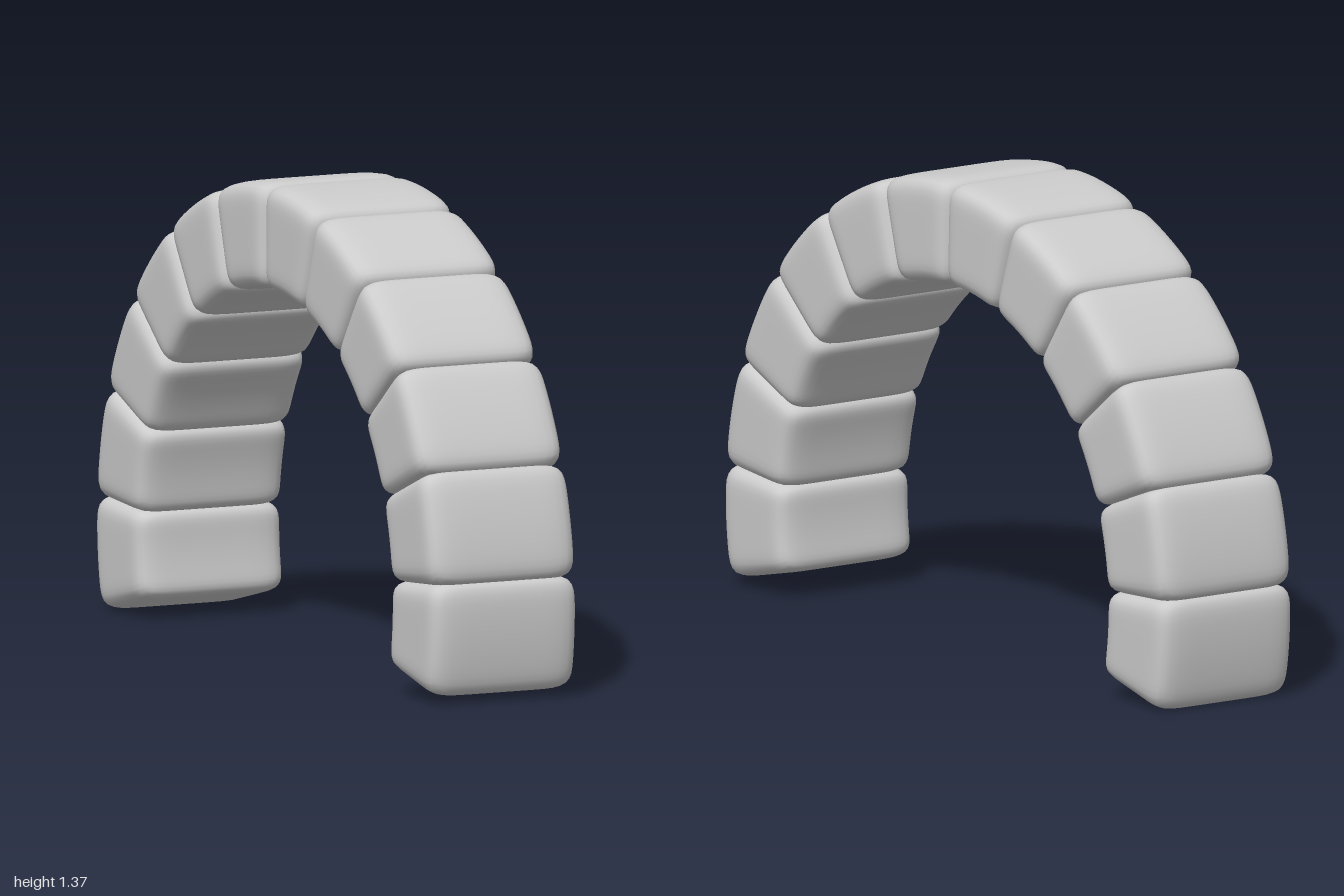
import * as THREE from 'three';
import { mergeVertices } from 'three/addons/utils/BufferGeometryUtils.js';

const BLOCKS = 12;
const R_IN = 0.8, R_OUT = 1.11;      // inner and outer radius of the arch
const HALF_DEPTH = 0.235;
const CENTRE_Y = 0.257;              // height of the arch's centre
const PITCH = THREE.MathUtils.degToRad(17.2);
const TILT = THREE.MathUtils.degToRad(0.6);
const OVERLAP = 0.96;                // neighbouring blocks press slightly together
const ROUNDNESS = 8;                 // superellipsoid exponent

// Pillow-shaped wedge stone: a rounded cube bent around the arch centre
function blockGeometry(midAngle) {
  let geo = new THREE.BoxGeometry(2, 2, 2, 16, 16, 16);
  geo.deleteAttribute('uv');
  geo.deleteAttribute('normal');
  geo = mergeVertices(geo);
  const pos = geo.attributes.position;
  const v = new THREE.Vector3();
  const midRadius = (R_IN + R_OUT) / 2, halfThick = (R_OUT - R_IN) / 2;
  const halfAngle = PITCH / 2 / OVERLAP;
  for (let i = 0; i < pos.count; i++) {
    v.fromBufferAttribute(pos, i);
    const norm = v.toArray().reduce((s, c) => s + Math.abs(c) ** ROUNDNESS, 0) ** (1 / ROUNDNESS);
    v.divideScalar(norm);
    const radius = midRadius + v.x * halfThick;
    const angle = midAngle + v.y * halfAngle;
    pos.setXYZ(i, radius * Math.cos(angle), radius * Math.sin(angle), v.z * HALF_DEPTH);
  }
  geo.computeVertexNormals();
  return geo;
}

export function createModel() {
  const model = new THREE.Group();
  model.name = 'stoneArch';
  const material = new THREE.MeshStandardMaterial({ color: 0xcccccc });

  // The arch runs diagonally across the ground
  const arch = new THREE.Group();
  arch.name = 'archRing';
  arch.position.y = CENTRE_Y;
  arch.rotation.y = -THREE.MathUtils.degToRad(38.3);
  model.add(arch);

  // Blocks from the left foot over the crown to the right foot
  for (let i = 0; i < BLOCKS; i++) {
    const angle = Math.PI / 2 + TILT + (i - (BLOCKS - 1) / 2) * PITCH;
    const block = new THREE.Mesh(blockGeometry(angle), material);
    block.name = `archBlock${i + 1}`;
    arch.add(block);
  }
  return model;
}
